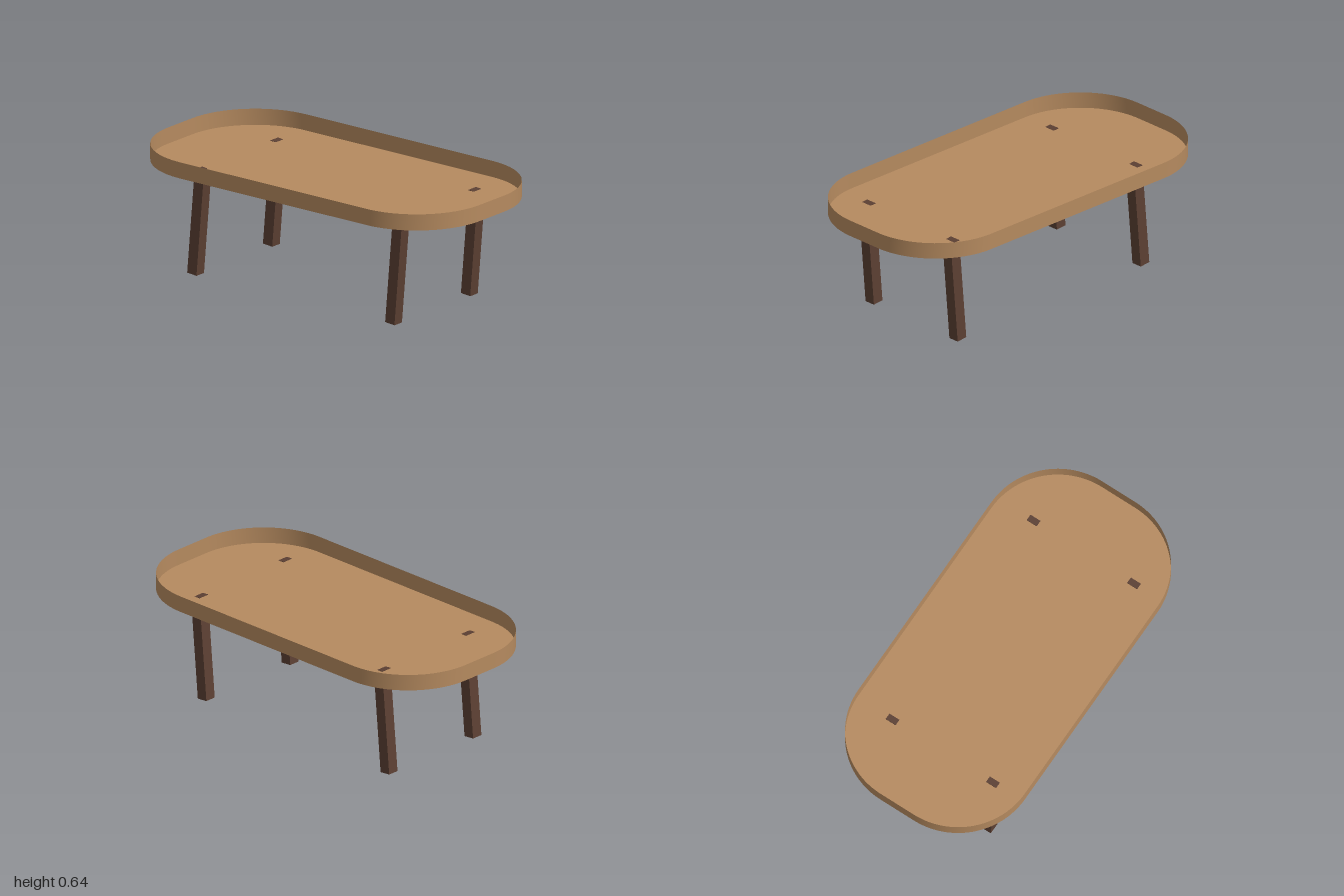
import * as THREE from 'three';

const BOTTOM = 0.555, TOP = 0.64;
const HALF_X = 1, HALF_Z = 0.5, CORNER = 0.4;

// Rounded rectangle outline of the tray as a closed loop of points
function outlinePoints(steps = 24) {
  const points = [];
  const corners = [[1, 1], [-1, 1], [-1, -1], [1, -1]];
  corners.forEach(([sx, sz], c) => {
    for (let i = 0; i <= steps; i++) {
      const a = (c + i / steps) * Math.PI / 2;
      points.push(new THREE.Vector2(
        sx * (HALF_X - CORNER) + CORNER * Math.cos(a),
        sz * (HALF_Z - CORNER) + CORNER * Math.sin(a)));
    }
  });
  return points;
}

// Thin upright band following the outline
function wallGeometry(points) {
  const pos = [], index = [], n = points.length;
  points.forEach((p) => pos.push(p.x, BOTTOM, p.y, p.x, TOP, p.y));
  for (let i = 0; i < n; i++) {
    const a = 2 * i, b = 2 * ((i + 1) % n);
    index.push(a, a + 1, b, b, a + 1, b + 1);
  }
  const geo = new THREE.BufferGeometry();
  geo.setAttribute('position', new THREE.Float32BufferAttribute(pos, 3));
  geo.setIndex(index);
  geo.computeVertexNormals();
  return geo;
}

export function createModel() {
  const model = new THREE.Group();
  model.name = 'table';

  const lightWood = new THREE.MeshStandardMaterial({ color: 0xb58a5f, side: THREE.DoubleSide });
  lightWood.name = 'light wood';
  const darkWood = new THREE.MeshStandardMaterial({ color: 0x5c4033 });
  darkWood.name = 'dark wood';

  function add(name, geometry, material) {
    const mesh = new THREE.Mesh(geometry, material);
    mesh.name = name;
    model.add(mesh);
    return mesh;
  }

  // Open tray top: flat floor and raised rim
  const points = outlinePoints();
  const floor = new THREE.ShapeGeometry(new THREE.Shape(points));
  floor.rotateX(-Math.PI / 2);
  floor.translate(0, BOTTOM, 0);
  add('trayFloor', floor, lightWood);
  add('trayRim', wallGeometry(points), lightWood);

  // Four square legs, all leaning the same way, their tips just piercing the floor
  const legGeometry = new THREE.BoxGeometry(0.06, 0.555, 0.06);
  for (const [side, x] of [['Right', -0.623], ['Left', 0.65]]) {
    for (const [end, z] of [['front', 0.317], ['back', -0.287]]) {
      const leg = add(end + side + 'Leg', legGeometry, darkWood);
      leg.position.set(x, 0.279, z);
      leg.rotation.z = -THREE.MathUtils.degToRad(5);
    }
  }
  return model;
}
